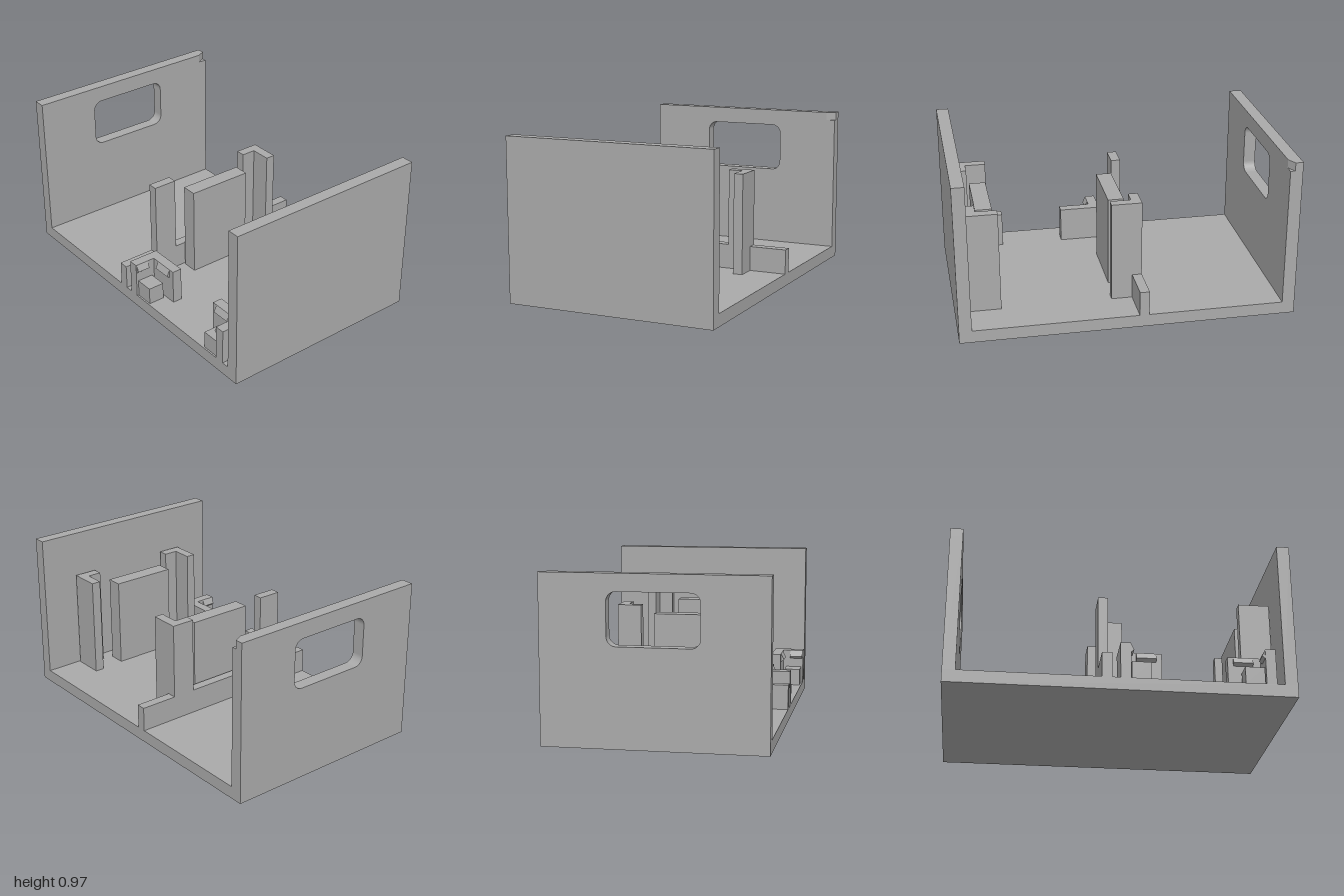
import * as THREE from 'three';

export function createModel() {
  const group = new THREE.Group();
  const grey = new THREE.MeshStandardMaterial({ color: 0xaaaaaa });
  grey.name = 'plain grey';

  const add = (name, geometry, parent = group) => {
    const mesh = new THREE.Mesh(geometry, grey);
    mesh.name = name;
    parent.add(mesh);
    return mesh;
  };
  // Box given by its limits on each axis
  const box = (name, x0, x1, y0, y1, z0, z1, parent) => add(name,
    new THREE.BoxGeometry(x1 - x0, y1 - y0, z1 - z0)
      .translate((x0 + x1) / 2, (y0 + y1) / 2, (z0 + z1) / 2), parent);
  const polygon = (pts) => new THREE.Shape(pts.map(([x, y]) => new THREE.Vector2(x, y)));
  const extrude = (shape, depth) =>
    new THREE.ExtrudeGeometry(shape, { depth, bevelEnabled: false, curveSegments: 8 });

  const W = 0.64, FLOOR = 0.075, TOP = 0.97, STRIP = 0.92, INNER = 0.925;

  // Floor and solid front wall
  box('floor', -W, W, 0, FLOOR, -1, 1);
  box('frontWall', -W, W, FLOOR, TOP, INNER, 1);

  // Back wall with a rounded window
  const wall = polygon([[-W, FLOOR], [W, FLOOR], [W, STRIP], [-W, STRIP]]);
  const l = -0.26, r = 0.26, b = 0.57, t = 0.87, c = 0.055;
  const hole = new THREE.Path();
  hole.moveTo(l + c, b);
  hole.lineTo(r - c, b);
  hole.absarc(r - c, b + c, c, -Math.PI / 2, 0);
  hole.lineTo(r, t - c);
  hole.absarc(r - c, t - c, c, 0, Math.PI / 2);
  hole.lineTo(l + c, t);
  hole.absarc(l + c, t - c, c, Math.PI / 2, Math.PI);
  hole.lineTo(l, b + c);
  hole.absarc(l + c, b + c, c, Math.PI, Math.PI * 1.5);
  wall.holes.push(hole);
  add('backWall', extrude(wall, 1 - INNER).translate(0, 0, -1));

  // Top strip of the back wall, with its small corner notch
  const strip = polygon([[-W, 1], [W, 1], [W, 0.953], [0.585, INNER], [-W, INNER]]);
  add('backWallTop', extrude(strip, TOP - STRIP).rotateX(-Math.PI / 2).translate(0, STRIP, 0));

  // Low divider across the floor
  box('divider', -W, W, FLOOR, 0.225, -0.115, -0.057);

  // Tall corner posts
  const H = 0.69;
  for (const s of [-1, 1]) {
    const span = (a, d) => (s > 0 ? [a, d] : [-d, -a]);
    box('frontPostFace', ...span(0.265, 0.41), FLOOR, H, 0.855, 0.915);
    box('frontPostLeg', ...span(0.352, 0.41), FLOOR, H, 0.73, 0.855);
    box('rearPostFace', ...span(0.265, 0.41), FLOOR, H, -0.115, -0.057);
  }
  box('rearPostLeg', 0.352, 0.41, FLOOR, H, -0.057, 0.068);

  // Upright plates between the posts
  box('rearPlate', -0.205, 0.2, FLOOR, 0.63, -0.045, 0.05);
  box('frontPlate', -0.205, 0.2, FLOOR, 0.63, 0.745, 0.845);

  // Pair of small corner clips, mirrored front to back
  for (const front of [false, true]) {
    const clip = new THREE.Group();
    clip.name = front ? 'frontClip' : 'rearClip';
    group.add(clip);
    const z = (v) => (front ? 0.87 - v : v);
    const part = (name, x0, x1, y1, a, d) =>
      box(name, x0, x1, FLOOR, y1, Math.min(z(a), z(d)), Math.max(z(a), z(d)), clip);
    part('clipWall', -W, -0.45, 0.29, -0.01, 0.05);
    part('clipLeg', -0.51, -0.45, 0.29, 0.05, 0.243);
    part('clipBlock', -0.63, -0.53, 0.18, 0.055, 0.168);
    // Wedge tabs at the rim
    const legTab = polygon([[-0.51, 0.29], [-0.53, 0.25], [-0.51, 0.235]]);
    add('clipLegTab', extrude(legTab, 0.115)
      .translate(0, 0, front ? 0.66 : 0.095), clip);
    const wallTab = polygon([[z(0.05), 0.29], [z(0.068), 0.25], [z(0.05), 0.235]]);
    add('clipWallTab', extrude(wallTab, 0.08)
      .rotateY(-Math.PI / 2).translate(-0.555, 0, 0), clip);
  }
  return group;
}
